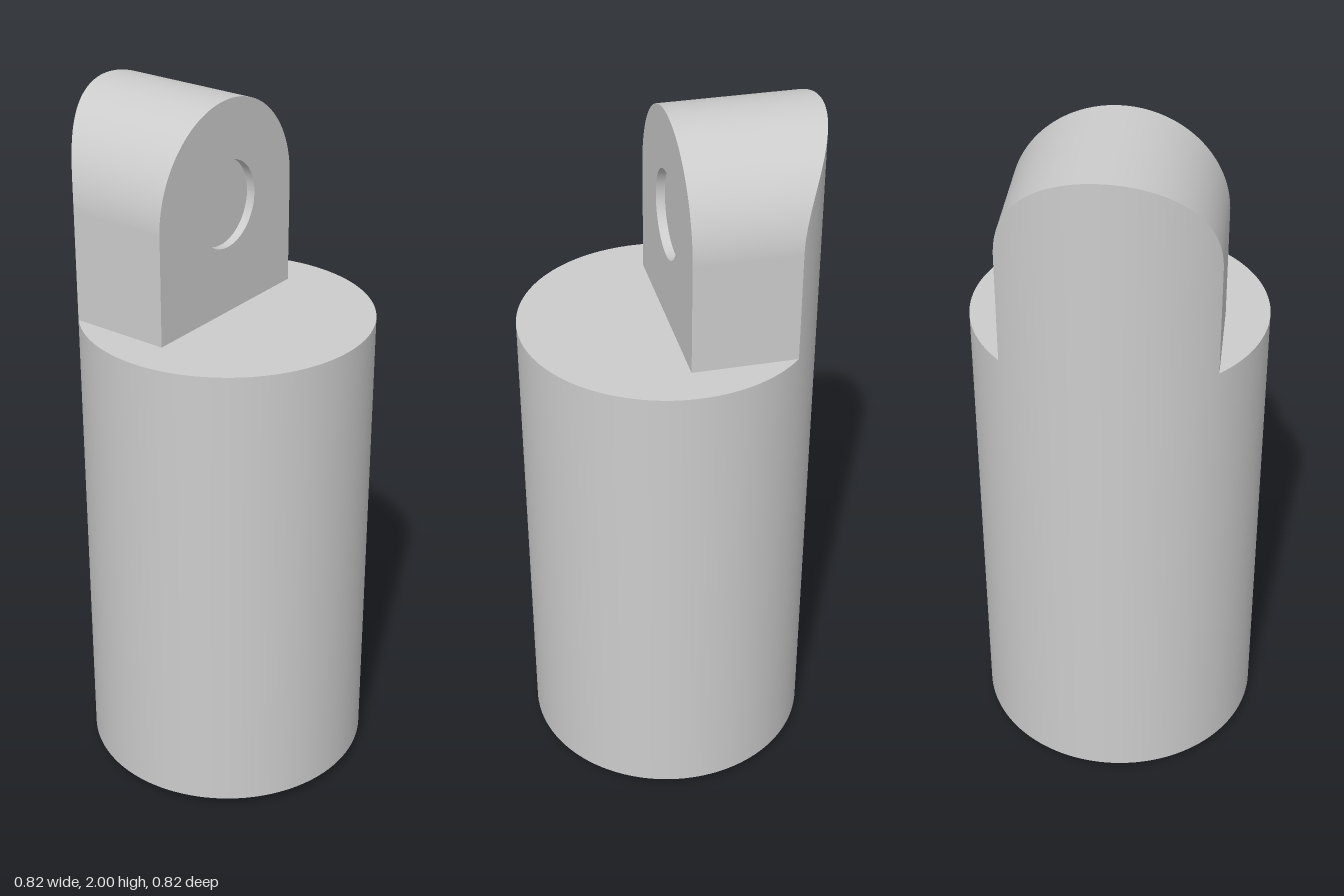
import * as THREE from 'three';

const R = 0.409, BASE = 0.028, SHOULDER = 1.4;       // main cylinder
const HALF = 0.288, ARC_Y = 2 - HALF;                // rounded lug
const HOLE = 0.122, DEPTH = 0.025;                   // shallow round recess
const SEG = 96;

// Smooth ruled surface between two rows of points
function strip(a, b) {
  const index = [];
  for (let i = 0; i < a.length - 1; i++) {
    const n = a.length + i;
    index.push(i, n, i + 1, n, n + 1, i + 1);
  }
  const g = new THREE.BufferGeometry().setFromPoints([...a, ...b]);
  g.setIndex(index);
  g.computeVertexNormals();
  return g;
}

export function createModel() {
  const group = new THREE.Group();
  const grey = new THREE.MeshStandardMaterial({ color: 0xcccccc });
  grey.name = 'light grey';
  const add = (name, geometry, parent = group) => {
    const mesh = new THREE.Mesh(geometry, grey);
    mesh.name = name;
    parent.add(mesh);
    return mesh;
  };
  const vec = (x, y, z) => new THREE.Vector3(x, y, z);
  const backZ = (x) => -Math.sqrt(R * R - x * x);

  // Main cylinder and the small pin beneath it
  add('body', new THREE.CylinderGeometry(R, R, SHOULDER - BASE, 128))
    .position.y = (SHOULDER + BASE) / 2;
  add('bottomPin', new THREE.CylinderGeometry(0.046, 0.046, BASE + 0.01, 48))
    .position.y = (BASE + 0.01) / 2;

  // Lug: flat front, arched rim, back following the cylinder
  const lug = new THREE.Group();
  lug.name = 'lug';
  group.add(lug);

  const arc = [];
  for (let i = 0; i <= SEG; i++) {
    const t = (i / SEG) * Math.PI;
    arc.push(new THREE.Vector2(-HALF * Math.cos(t), ARC_Y + HALF * Math.sin(t)));
  }
  const outline = [new THREE.Vector2(-HALF, SHOULDER), ...arc, new THREE.Vector2(HALF, SHOULDER)];

  const face = new THREE.Shape(outline);
  face.holes.push(new THREE.Path().absarc(0, ARC_Y, HOLE, 0, Math.PI * 2, false));
  add('lugFront', new THREE.ShapeGeometry(face, 32), lug);
  add('lugRim', strip(
    outline.map((p) => vec(p.x, p.y, backZ(p.x))),
    outline.map((p) => vec(p.x, p.y, 0))), lug);
  add('lugBack', strip(
    arc.map((p) => vec(p.x, SHOULDER, backZ(p.x))),
    arc.map((p) => vec(p.x, p.y, backZ(p.x)))), lug);

  // Recess wall and floor
  const ring = (z) => Array.from({ length: 65 }, (_, i) => {
    const t = (i / 64) * Math.PI * 2;
    return vec(HOLE * Math.cos(t), ARC_Y + HOLE * Math.sin(t), z);
  });
  add('recessWall', strip(ring(-DEPTH), ring(0)), lug);
  add('recessFloor', new THREE.CircleGeometry(HOLE, 64), lug).position.set(0, ARC_Y, -DEPTH);

  return group;
}
